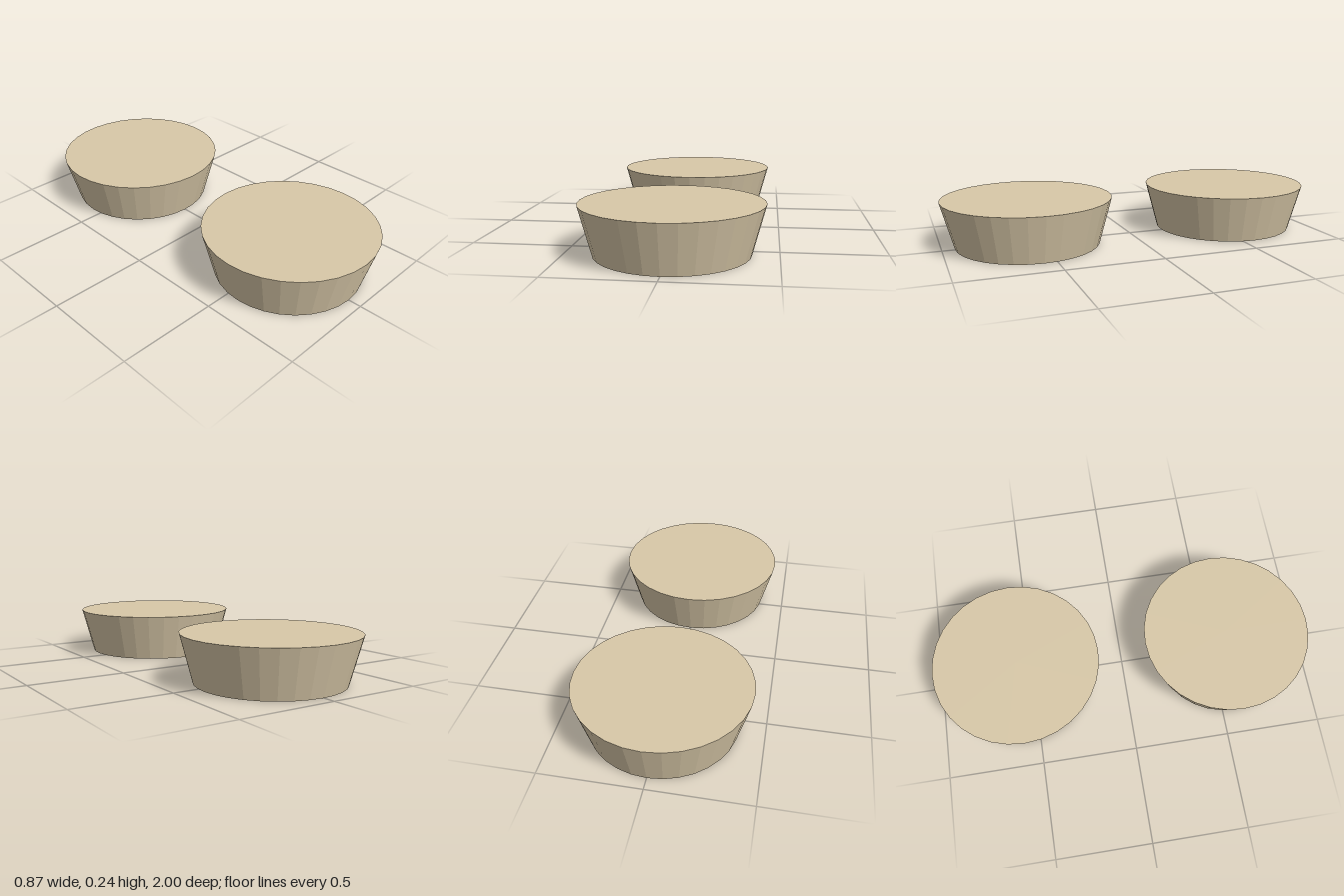
import * as THREE from 'three';

const TOP_RADIUS = 0.437;
const BOTTOM_RADIUS = 0.372;
const HEIGHT = 0.243;
const SIDES = 32;

export function createModel() {
  const model = new THREE.Group();
  const material = new THREE.MeshStandardMaterial({ color: 0xd8c8a8, flatShading: true });

  // Tapered solid disc, wider at the top
  const geometry = new THREE.CylinderGeometry(TOP_RADIUS, BOTTOM_RADIUS, HEIGHT, SIDES);
  geometry.translate(0, HEIGHT / 2, 0);

  // One disc at the front, one at the back
  for (const [name, side] of [['frontDisc', 1], ['backDisc', -1]]) {
    const disc = new THREE.Mesh(geometry, material);
    disc.name = name;
    disc.position.z = side * (1 - TOP_RADIUS);
    model.add(disc);
  }
  return model;
}
